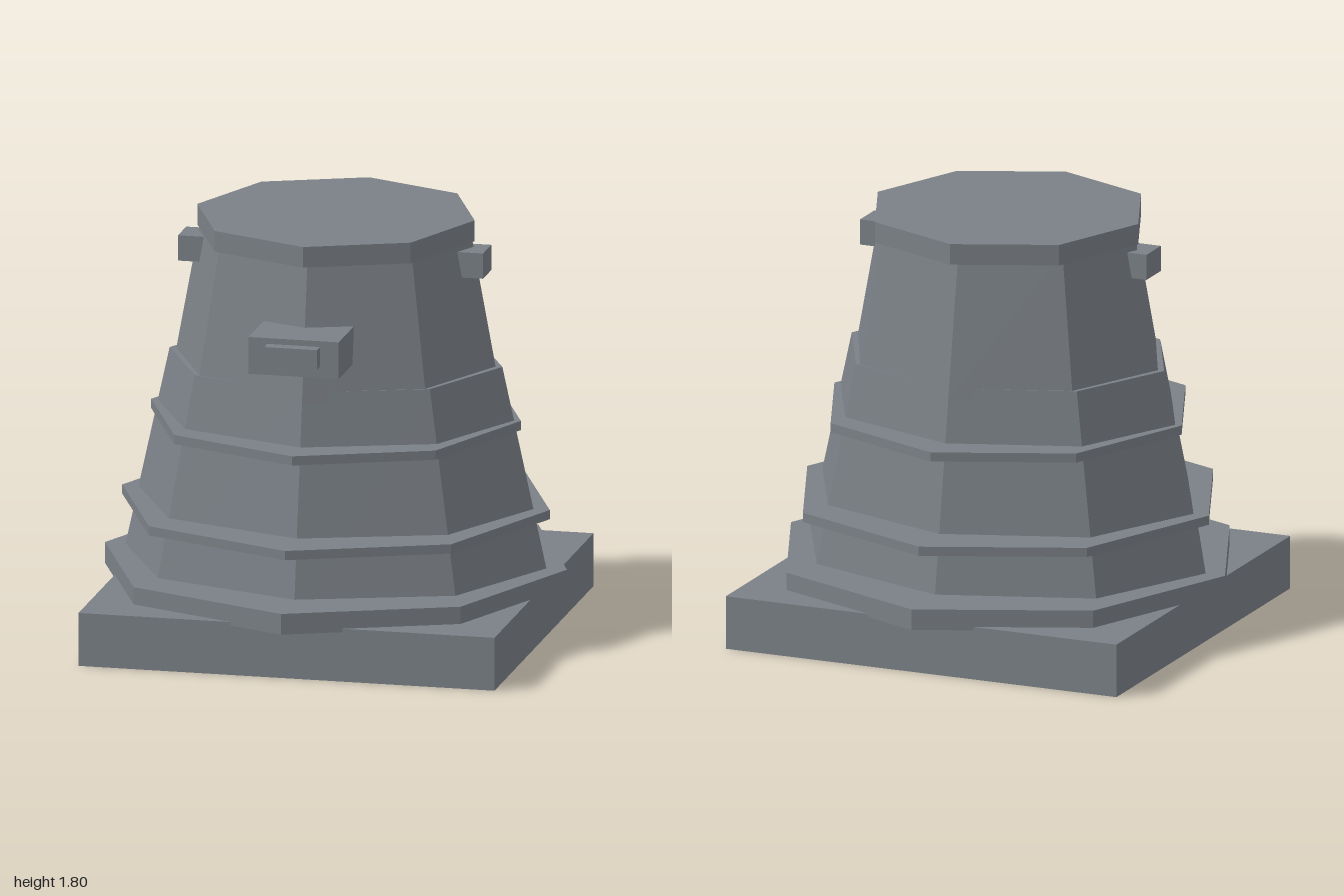
import * as THREE from 'three';

const slate = new THREE.MeshStandardMaterial({ color: 0x7a8086, flatShading: true });
slate.name = 'slateGrey';

export function createModel() {
  const model = new THREE.Group();
  model.name = 'turret';

  function add(name, geometry, x, y, z) {
    const mesh = new THREE.Mesh(geometry, slate);
    mesh.name = name;
    mesh.position.set(x, y, z);
    model.add(mesh);
  }

  // Box given by its extents
  function box(name, [x0, x1], [y0, y1], [z0, z1]) {
    add(name, new THREE.BoxGeometry(x1 - x0, y1 - y0, z1 - z0),
      (x0 + x1) / 2, (y0 + y1) / 2, (z0 + z1) / 2);
  }

  // Eight-sided frustum with separate x and z radii at its bottom and top
  function octagon(name, y0, y1, [bx, bz], [tx, tz] = [bx, bz]) {
    const g = new THREE.CylinderGeometry(1, 1, y1 - y0, 8);
    const p = g.attributes.position;
    for (let i = 0; i < p.count; i++) {
      const top = p.getY(i) > 0;
      p.setX(i, p.getX(i) * (top ? tx : bx));
      p.setZ(i, p.getZ(i) * (top ? tz : bz));
    }
    g.computeVertexNormals();
    add(name, g, 0, (y0 + y1) / 2, 0);
  }

  // Square plinth
  box('plinth', [-0.9, 0.9], [0, 0.23], [-0.9, 0.9]);

  // Tapered tower, wider across x than z
  octagon('lowerTower', 0.23, 1.17, [0.927, 0.768], [0.72, 0.61]);
  octagon('upperTower', 1.12, 1.75, [0.7, 0.62], [0.583, 0.513]);

  // Ledges around the tower, and the cap
  octagon('baseLedge', 0.215, 0.305, [1, 1]);
  octagon('middleLedge', 0.52, 0.56, [0.925, 0.925]);
  octagon('upperLedge', 0.9, 0.94, [0.8, 0.8]);
  octagon('cap', 1.71, 1.8, [0.6, 0.6]);

  // Front housing with its small projecting block
  box('frontHousing', [-0.195, 0.195], [1.28, 1.44], [0.4, 0.77]);
  box('frontBlock', [-0.115, 0.115], [1.33, 1.415], [0.75, 0.825]);

  // Side lugs under the cap
  box('leftLug', [0.5, 0.66], [1.575, 1.685], [-0.05, 0.1]);
  box('rightLug', [-0.66, -0.5], [1.575, 1.685], [-0.05, 0.1]);

  return model;
}
